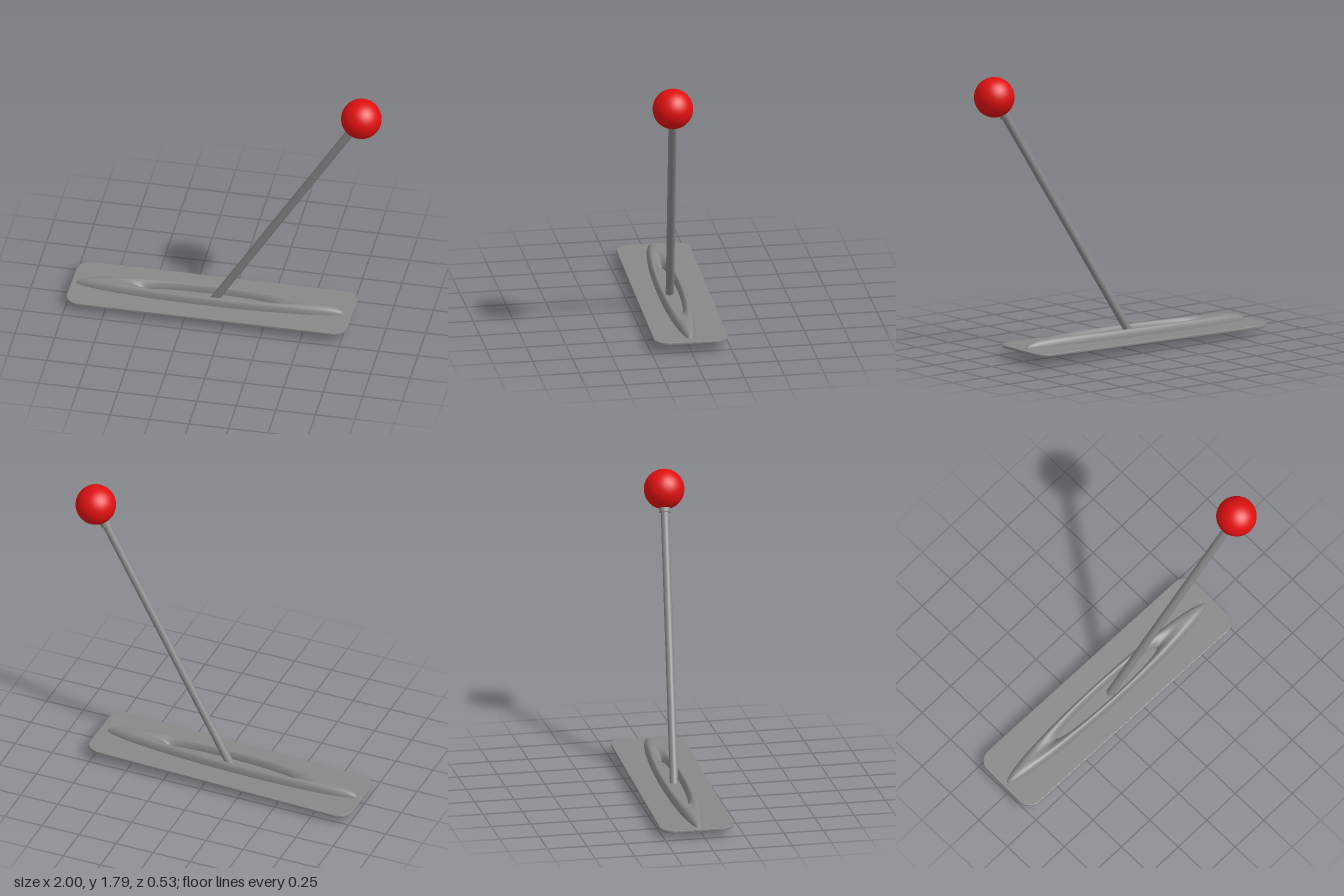
import * as THREE from 'three';

export function createModel() {
  const model = new THREE.Group();
  const grey = new THREE.MeshStandardMaterial({ color: 0x888888 });
  grey.name = 'grey metal';
  const red = new THREE.MeshStandardMaterial({ color: 0xe01010 });
  red.name = 'red knob';

  const add = (parent, name, geometry, material) => {
    const mesh = new THREE.Mesh(geometry, material);
    mesh.name = name;
    parent.add(mesh);
    return mesh;
  };

  // Base: slightly turned and tilted
  const base = new THREE.Group();
  base.name = 'base';
  base.position.set(-0.107, 0.065, -0.02);
  base.rotation.set(0, -0.021, 0.011);
  model.add(base);

  // Thin plate with rounded corners
  const bevel = 0.004, thickness = 0.018;
  const w = 0.892 - bevel, h = 0.232 - bevel, r = 0.085;
  const outline = new THREE.Shape();
  outline.absarc(w - r, h - r, r, 0, Math.PI / 2);
  outline.absarc(-w + r, h - r, r, Math.PI / 2, Math.PI);
  outline.absarc(-w + r, -h + r, r, Math.PI, Math.PI * 1.5);
  outline.absarc(w - r, -h + r, r, Math.PI * 1.5, Math.PI * 2);
  outline.closePath();
  const plate = new THREE.ExtrudeGeometry(outline, {
    depth: thickness - 2 * bevel, bevelThickness: bevel, bevelSize: bevel,
    bevelSegments: 2, curveSegments: 10,
  });
  plate.translate(0, 0, -thickness / 2 + bevel);
  plate.rotateX(-Math.PI / 2);
  add(base, 'basePlate', plate, grey);

  // Ring stretched into a long, narrow oval around the rod
  const ring = new THREE.TorusGeometry(0.75, 0.25, 32, 96);
  ring.rotateX(-Math.PI / 2);
  ring.scale(0.853, 0.057 / 0.25, 0.088);
  add(base, 'ovalRing', ring, grey).position.set(-0.01, 0.002, 0.006);

  // Leaning rod, collar and knob share one axis
  const knobCentre = new THREE.Vector3(0.87, 1.67, 0.138);
  const foot = new THREE.Vector3(-0.107, 0.045, -0.006);
  const length = knobCentre.distanceTo(foot);
  const lever = new THREE.Group();
  lever.name = 'lever';
  lever.position.copy(foot);
  lever.quaternion.setFromUnitVectors(
    new THREE.Vector3(0, 1, 0), knobCentre.clone().sub(foot).normalize());
  model.add(lever);

  const rodLength = length - 0.08;
  add(lever, 'rod', new THREE.CylinderGeometry(0.026, 0.026, rodLength, 32), grey)
    .position.y = rodLength / 2;
  add(lever, 'collar', new THREE.CylinderGeometry(0.034, 0.034, 0.045, 32), grey)
    .position.y = length - 0.126;
  add(lever, 'knob', new THREE.SphereGeometry(0.126, 48, 32), red)
    .position.y = length;

  return model;
}
